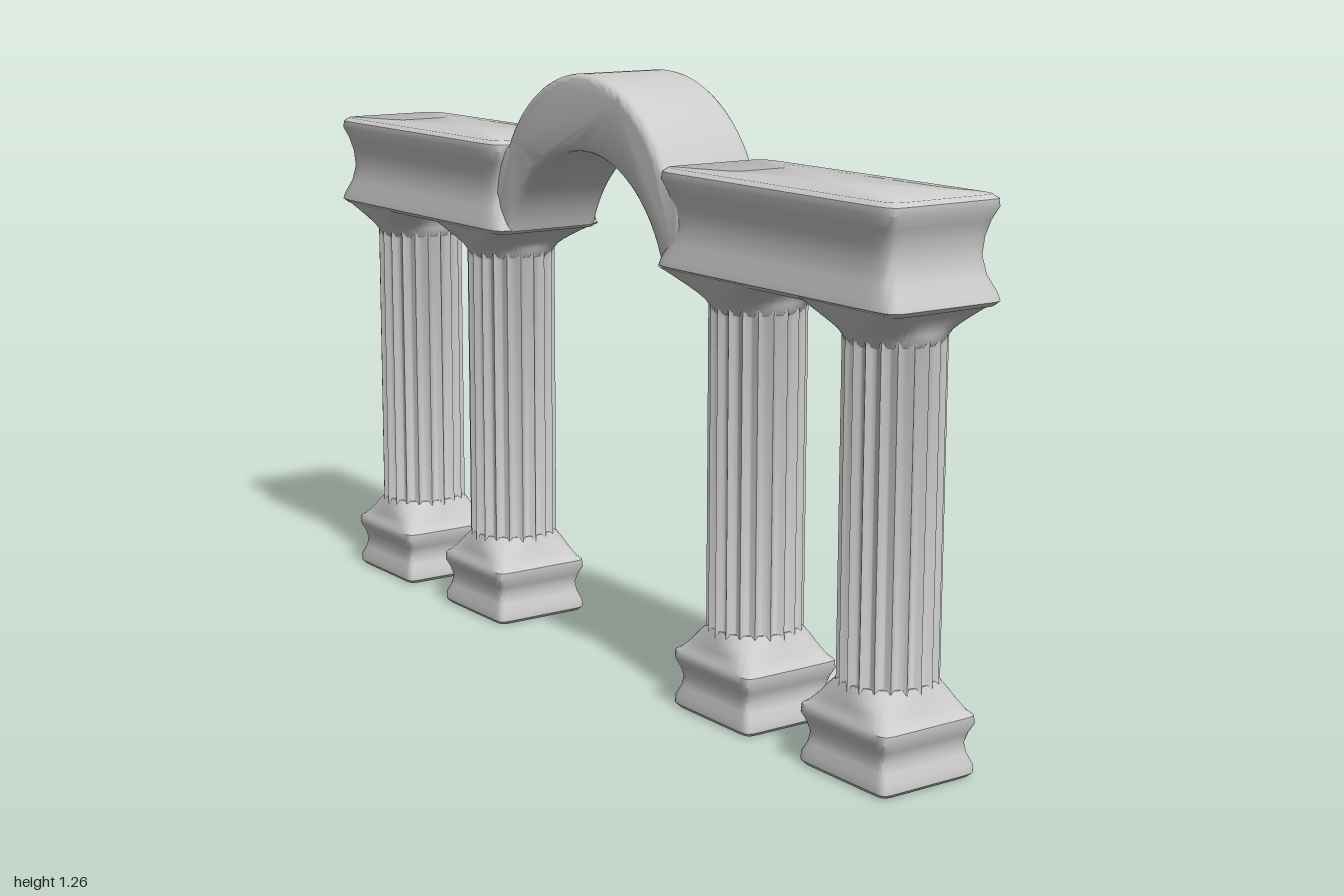
import * as THREE from 'three';
import { toCreasedNormals } from 'three/addons/utils/BufferGeometryUtils.js';

const material = new THREE.MeshStandardMaterial({ color: 0xcccccc });
const SEGMENTS = 160;
const FLUTES = 20;

// Skins rings [y, halfX, halfZ, squareness, fluteDepth, shiftZ] from bottom to top.
// Squareness 2 is an ellipse; higher values approach a rectangle.
function loft(name, rings) {
  const positions = [];
  const index = [];
  for (const [y, hx, hz, n, flute = 0, dz = 0] of rings) {
    for (let j = 0; j < SEGMENTS; j++) {
      const a = (j / SEGMENTS) * Math.PI * 2;
      const c = Math.cos(a), s = Math.sin(a);
      const r = (Math.abs(c) ** n + Math.abs(s) ** n) ** (-1 / n);
      const cut = flute * Math.abs(Math.sin(a * FLUTES / 2));
      positions.push(c * (r * hx - cut), y, s * (r * hz - cut) + dz);
    }
  }
  const last = rings.length - 1;
  for (let i = 0; i < last; i++) {
    for (let j = 0; j < SEGMENTS; j++) {
      const a = i * SEGMENTS + j, b = i * SEGMENTS + (j + 1) % SEGMENTS;
      index.push(a, a + SEGMENTS, b, b, a + SEGMENTS, b + SEGMENTS);
    }
  }
  // End caps
  const bottom = positions.length / 3, top = bottom + 1;
  positions.push(0, rings[0][0], rings[0][5] ?? 0, 0, rings[last][0], rings[last][5] ?? 0);
  for (let j = 0; j < SEGMENTS; j++) {
    const k = (j + 1) % SEGMENTS;
    index.push(bottom, j, k, top, last * SEGMENTS + k, last * SEGMENTS + j);
  }
  const geometry = new THREE.BufferGeometry();
  geometry.setAttribute('position', new THREE.Float32BufferAttribute(positions, 3));
  geometry.setIndex(index);
  const mesh = new THREE.Mesh(toCreasedNormals(geometry, 0.75), material);
  mesh.name = name;
  return mesh;
}

// Square moulded foot, fluted shaft and flared capital
function column(name, capitalHalfZ, capitalShift) {
  const group = new THREE.Group();
  group.name = name;
  group.add(loft('base', [
    [0, 0.108, 0.118, 16],
    [0.008, 0.115, 0.126, 16],
    [0.025, 0.114, 0.125, 16],
    [0.045, 0.106, 0.115, 16],
    [0.065, 0.103, 0.111, 16],
    [0.085, 0.108, 0.117, 16],
    [0.103, 0.116, 0.126, 16],
    [0.12, 0.115, 0.126, 14],
    [0.127, 0.109, 0.117, 10],
    [0.145, 0.105, 0.106, 5],
    [0.165, 0.101, 0.098, 3],
    [0.185, 0.094, 0.088, 2],
  ]));
  group.add(loft('shaft', [
    [0.155, 0.1, 0.096, 2.2],
    [0.172, 0.1, 0.095, 2, 0.004],
    [0.19, 0.1, 0.094, 2, 0.013],
    [0.82, 0.1, 0.094, 2, 0.013],
    [0.838, 0.1, 0.094, 2, 0.004],
    [0.85, 0.1, 0.094, 2],
  ]));
  const rings = [[0.825, 0.092, 0.086, 2, 0, 0]];
  for (let i = 0; i <= 6; i++) {
    const t = i / 6, flare = t * t;
    rings.push([
      0.838 + 0.064 * t,
      0.1 + 0.036 * t,
      THREE.MathUtils.lerp(0.094, capitalHalfZ, flare),
      2 + 8 * flare, 0, capitalShift * flare,
    ]);
  }
  group.add(loft('capital', rings));
  return group;
}

// Beam with hollowed sides and ends
function beam() {
  return loft('beam', [
    [0.895, 0.128, 0.352, 16],
    [0.904, 0.138, 0.36, 16],
    [0.92, 0.135, 0.354, 16],
    [0.95, 0.125, 0.335, 16],
    [0.985, 0.119, 0.327, 16],
    [1.02, 0.122, 0.33, 16],
    [1.05, 0.129, 0.339, 16],
    [1.075, 0.138, 0.352, 16],
    [1.09, 0.136, 0.352, 16],
    [1.098, 0.126, 0.342, 16],
  ]);
}

// Arch whose feet run into the beam ends
function arch() {
  const outer = 0.497, inner = 0.335;
  const shape = new THREE.Shape();
  shape.moveTo(0.35, 0.905);
  shape.lineTo(0.35, 1.08);
  shape.absarc(0, 0.935, 0.325, outer, Math.PI - outer, false);
  shape.lineTo(-0.35, 1.08);
  shape.lineTo(-0.35, 0.905);
  shape.absarc(0, 0.804, 0.296, Math.PI - inner, inner, true);
  const bevel = 0.018, width = 0.232;
  const geometry = new THREE.ExtrudeGeometry(shape, {
    depth: width - 2 * bevel, curveSegments: 24,
    bevelSize: bevel, bevelThickness: bevel, bevelOffset: -bevel, bevelSegments: 4,
  });
  // Restore the full height lost to the inset at the crown
  geometry.translate(0, 0, -(width / 2 - bevel));
  geometry.rotateY(-Math.PI / 2);
  const mesh = new THREE.Mesh(toCreasedNormals(geometry, 0.6), material);
  mesh.name = 'arch';
  return mesh;
}

export function createModel() {
  const model = new THREE.Group();
  model.name = 'colonnade';
  for (const side of [1, -1]) {
    const outerColumn = column('outerColumn', 0.136, 0);
    outerColumn.position.z = side * 0.859;
    const innerColumn = column('innerColumn', 0.16, side * -0.013);
    innerColumn.position.z = side * 0.453;
    const lintel = beam();
    lintel.position.set(side * 0.005, 0, side * 0.64);
    model.add(outerColumn, innerColumn, lintel);
  }
  model.add(arch());
  return model;
}
